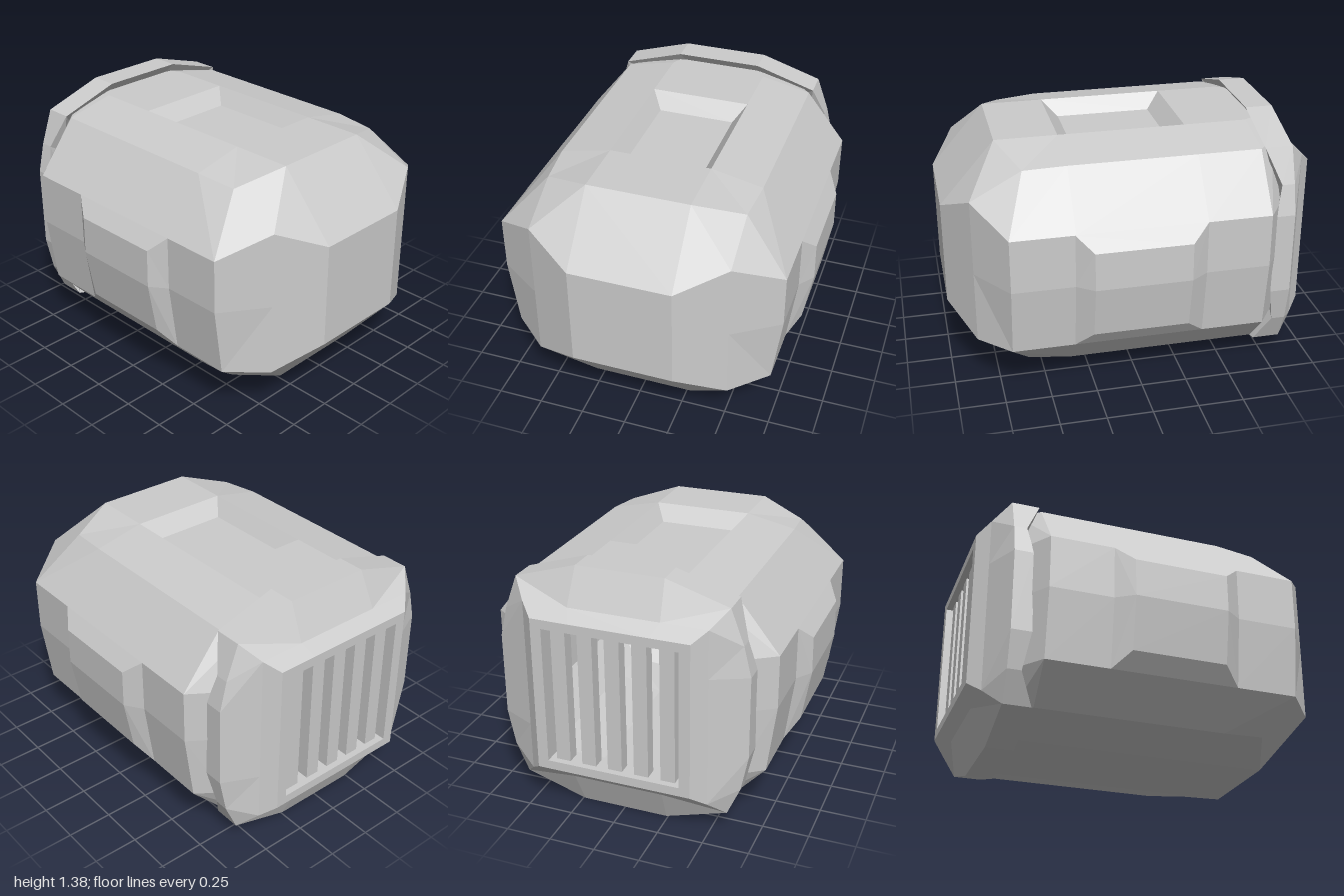
import * as THREE from 'three';

const material = new THREE.MeshStandardMaterial({
  color: 0xcccccc, flatShading: true, side: THREE.DoubleSide,
});
const MID = 0.69; // height of the long axis

// Skin a series of closed rings with equal point counts.
function loft(name, rings, skip = () => false) {
  const pos = [];
  const tri = (...pts) => pts.forEach((p) => pos.push(...p));
  for (let r = 0; r + 1 < rings.length; r++) {
    const n = rings[r].length;
    for (let i = 0; i < n; i++) {
      if (skip(r, i)) continue;
      const j = (i + 1) % n;
      const a = rings[r][i], b = rings[r][j], c = rings[r + 1][j], d = rings[r + 1][i];
      // the diagonal starts at the point nearer the centre plane
      if (Math.abs(a[0]) <= Math.abs(b[0])) { tri(a, d, c); tri(a, c, b); }
      else { tri(a, d, b); tri(d, c, b); }
    }
  }
  const geo = new THREE.BufferGeometry();
  geo.setAttribute('position', new THREE.Float32BufferAttribute(pos, 3));
  geo.computeVertexNormals();
  const mesh = new THREE.Mesh(geo, material);
  mesh.name = name;
  return mesh;
}

// Complete a +x half outline (top to bottom) to a full ring.
const mirror = (half) => [...half, ...half.map(([x, y, z]) => [-x, y, z]).reverse()];
const atZ = (half, z) => mirror(half.map(([x, y]) => [x, y, z]));

function makeBody() {
  const section = [[0.28, 1.33], [0.56, 1.27], [0.785, 0.985], [0.785, MID],
    [0.735, 0.31], [0.56, 0.12], [0.28, 0.05]];
  const shoulder = [[0.28, 1.33, 0.7], [0.54, 1.255, 0.59], [0.785, 0.985, 0.7], [0.785, MID, 0.7],
    [0.735, 0.31, 0.7], [0.54, 0.135, 0.59], [0.28, 0.05, 0.7]];
  const top = [0.28, 0.985, 1], bottom = [0.28, 0.405, 1];
  const cheekTop = [0.54, 1.105, 0.865], cheekBottom = [0.54, 0.29, 0.865];
  const cheek = [top, cheekTop, cheekTop, [0.54, MID, 0.865], cheekBottom, cheekBottom, bottom];
  const face = [top, top, top, [0.28, MID, 1], bottom, bottom, bottom];
  const rings = [
    atZ(section.map(([x, y]) => [x * 0.82, y]), -0.775),
    atZ(section, -0.68), atZ(section, -0.335), atZ(section, 0.36),
    mirror(shoulder), mirror(cheek), mirror(face),
    mirror(face.map(() => [0, MID, 1])),
  ];
  // leave the top middle panel open for the recess
  return loft('body', rings, (r, i) => r === 2 && i === 13);
}

function makeTopRecess() {
  const rect = (x, y, z0, z1) => [[-x, y, z0], [x, y, z0], [x, y, z1], [-x, y, z1]];
  return loft('topRecess', [
    rect(0.28, 1.33, -0.335, 0.36), rect(0.215, 1.245, -0.255, 0.275), rect(0, 1.245, 0.01, 0.01),
  ]);
}

function makeSidePanel(name, side) {
  const ring = (pts, z0, z1) => [
    ...pts.map(([x, y]) => [x, y, z0]), ...pts.map(([x, y]) => [x, y, z1]).reverse()];
  const mid = [0.85, MID];
  const panel = loft(name, [
    ring([[0.785, 0.985], [0.785, MID], [0.735, 0.31]], -0.335, 0.365),
    ring([[0.847, 0.9], mid, [0.8, 0.4]], -0.24, 0.275),
    ring([mid, mid, mid], -0.24, 0.275),
  ]);
  panel.scale.x = side;
  return panel;
}

function makeCollar() {
  const outline = [[0.24, 1.385], [0.58, 1.28], [0.65, 1.09], [0.69, 0.925],
    [0.69, 0.47], [0.65, 0.27], [0.58, 0.11], [0.24, 0.005]];
  const frontZ = [-0.695, -0.695, -0.775, -0.74, -0.735, -0.77, -0.695, -0.695];
  const rect = (w, y0, y1, z) => atZ([[w / 2, y1], [w, y1], [w, y1], [w, 0.925],
    [w, 0.47], [w, y0], [w, y0], [w / 2, y0]], z);
  return loft('rearCollar', [
    rect(0.37, 0.31, 1.08, -0.87), // vent tunnel
    rect(0.37, 0.31, 1.08, -1),
    rect(0.43, 0.26, 1.13, -1), // vent rim
    rect(0.5, 0.2, 1.19, -0.935),
    atZ(outline, -0.845),
    mirror(outline.map(([x, y], i) => [x, y, frontZ[i]])),
    atZ(outline.map(([x, y]) => [x * 0.85, MID + (y - MID) * 0.85]), -0.78),
  ]);
}

function makeVentBars() {
  const bars = new THREE.Group();
  bars.name = 'ventBars';
  const geo = new THREE.BoxGeometry(0.08, 0.8, 0.07);
  for (let i = 0; i < 5; i++) {
    const bar = new THREE.Mesh(geo, material);
    bar.name = 'ventBar';
    bar.position.set((i - 2) * 0.148, 0.695, -0.93);
    bars.add(bar);
  }
  return bars;
}

export function createModel() {
  const model = new THREE.Group();
  model.name = 'pod';
  model.add(makeBody(), makeTopRecess(), makeSidePanel('leftPanel', 1),
    makeSidePanel('rightPanel', -1), makeCollar(), makeVentBars());
  return model;
}
